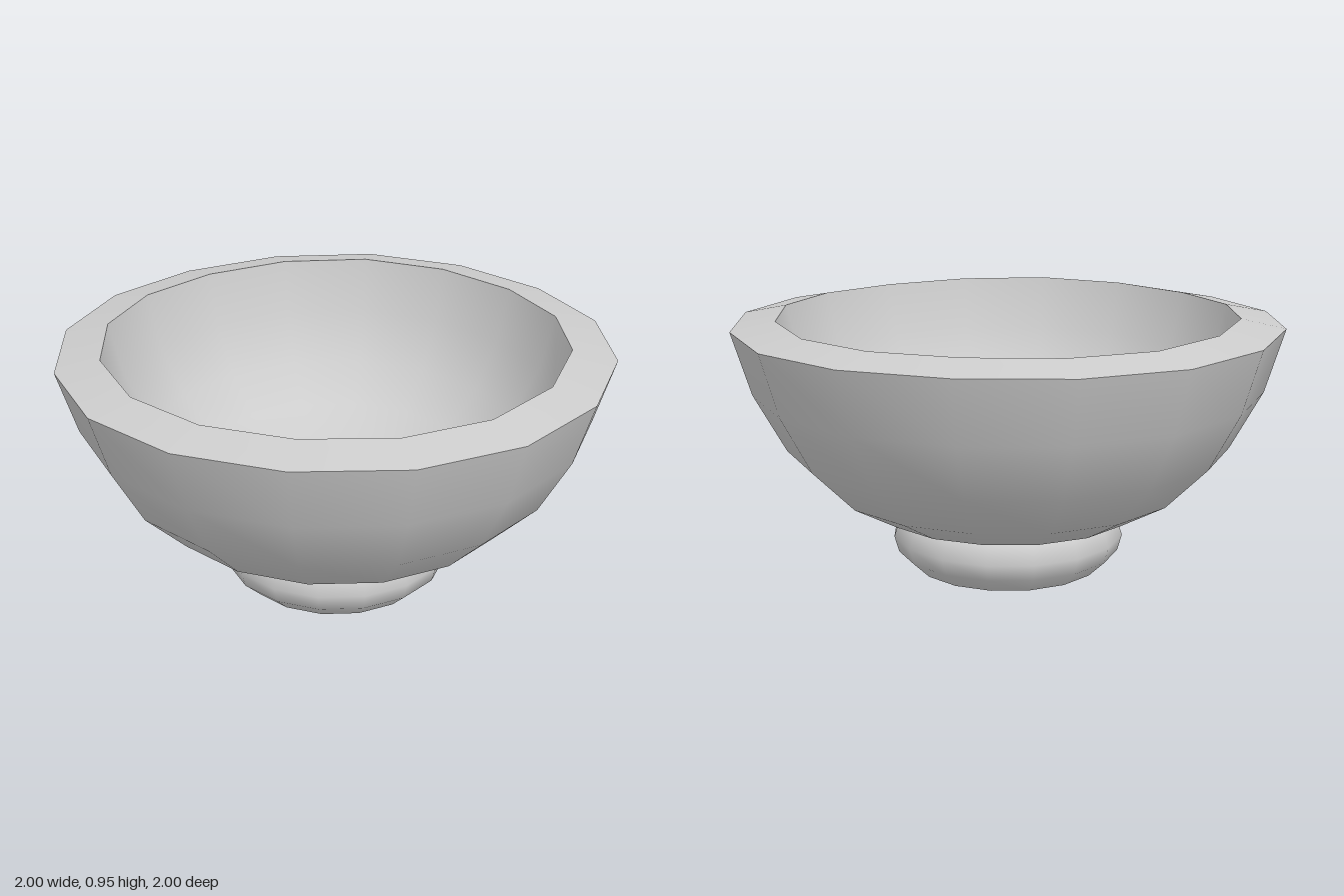
import * as THREE from 'three';

const SIDES = 16;

export function createModel() {
  const group = new THREE.Group();
  const gray = new THREE.MeshStandardMaterial({ color: 0xcccccc });
  gray.name = 'light gray clay';

  // Turn a profile of [radius, height] points; wave lifts the diagonals slightly
  function turn(name, profile, wave = 0) {
    const points = profile.map(([r, y]) => new THREE.Vector2(r, y));
    const geometry = new THREE.LatheGeometry(points, SIDES);
    const pos = geometry.attributes.position;
    for (let i = 0; i < pos.count; i++) {
      const angle = Math.atan2(pos.getZ(i), pos.getX(i));
      const lift = wave * pos.getY(i) * (1 - Math.cos(4 * angle));
      pos.setY(i, pos.getY(i) + lift);
    }
    const mesh = new THREE.Mesh(geometry, gray);
    mesh.name = name;
    group.add(mesh);
  }

  const wave = 0.004;

  // Bowl: outside wall, sloped rim and hollow, kept apart for sharp edges
  turn('bowlOutside', [
    [0, 0.185], [0.41, 0.19], [0.485, 0.215], [0.655, 0.31],
    [0.815, 0.47], [0.93, 0.68], [1, 0.91],
  ], wave);
  turn('bowlRim', [[1, 0.91], [0.84, 0.942]], wave);
  turn('bowlInside', [
    [0.84, 0.942], [0.79, 0.74], [0.69, 0.56], [0.55, 0.43],
    [0.38, 0.35], [0.2, 0.315], [0, 0.305],
  ], wave);

  // Rounded foot with a flat base
  turn('footRing', [
    [0.352, 0], [0.415, 0.06], [0.432, 0.12], [0.41, 0.19], [0.33, 0.235],
  ]);
  turn('footBase', [[0, 0], [0.352, 0]]);

  return group;
}
